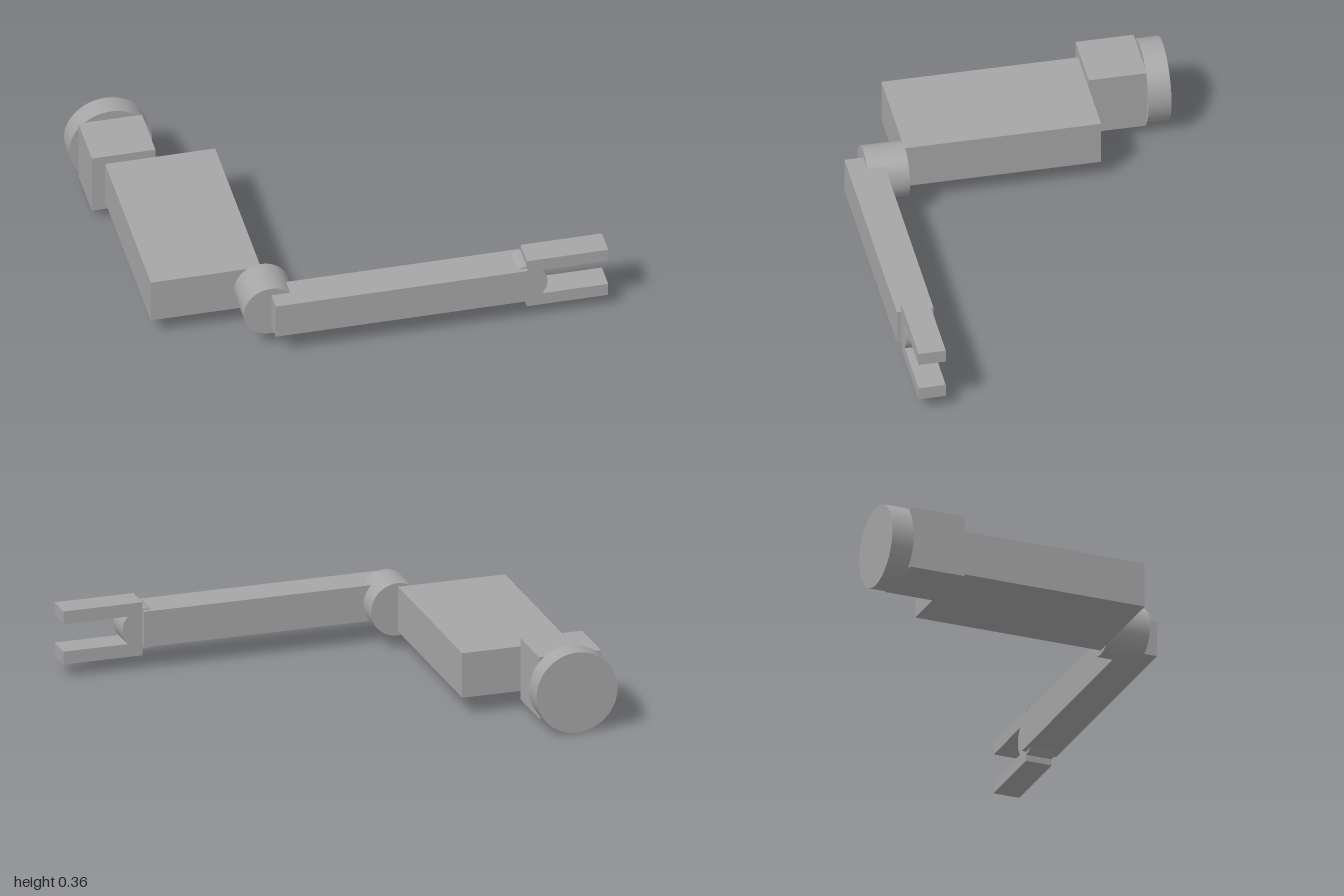
import * as THREE from 'three';

export function createModel() {
  const model = new THREE.Group();
  model.name = 'robotArm';

  const grey = new THREE.MeshStandardMaterial({ color: 0xa6a6a6 });
  grey.name = 'grey';

  const AXIS_Y = 0.178; // shared height of every joint axis

  function add(name, geometry, x, y, z) {
    const mesh = new THREE.Mesh(geometry, grey);
    mesh.name = name;
    mesh.position.set(x, y, z);
    model.add(mesh);
  }

  // Box given by its extents on each axis
  function block(name, [x0, x1], [y0, y1], [z0, z1]) {
    add(name, new THREE.BoxGeometry(x1 - x0, y1 - y0, z1 - z0),
      (x0 + x1) / 2, (y0 + y1) / 2, (z0 + z1) / 2);
  }

  // Cylinder lying along z, on the joint axis height
  function disc(name, x, radius, [z0, z1]) {
    const geometry = new THREE.CylinderGeometry(radius, radius, z1 - z0, 64);
    geometry.rotateX(Math.PI / 2);
    add(name, geometry, x, AXIS_Y, (z0 + z1) / 2);
  }

  // Shoulder: mounting disc and block
  disc('baseDisc', -0.822, 0.178, [-0.72, -0.623]);
  block('shoulderBlock', [-0.96, -0.688], [0.043, 0.316], [-0.623, -0.376]);

  // Upper arm running forwards
  block('upperArm', [-0.903, -0.432], [0.08, 0.278], [-0.376, 0.462]);

  // Elbow and forearm running sideways
  disc('elbow', -0.43, 0.116, [0.462, 0.638]);
  block('forearm', [-0.428, 0.652], [0.102, 0.26], [0.562, 0.718]);

  // Wrist and the two gripper fingers, mirrored about the axis
  disc('wrist', 0.65, 0.09, [0.582, 0.698]);
  for (const side of [1, -1]) {
    const edges = [0.061, 0.118].map((d) => AXIS_Y + side * d).sort((a, b) => a - b);
    block(side > 0 ? 'upperFinger' : 'lowerFinger', [0.652, 1], edges, [0.582, 0.698]);
  }

  return model;
}
